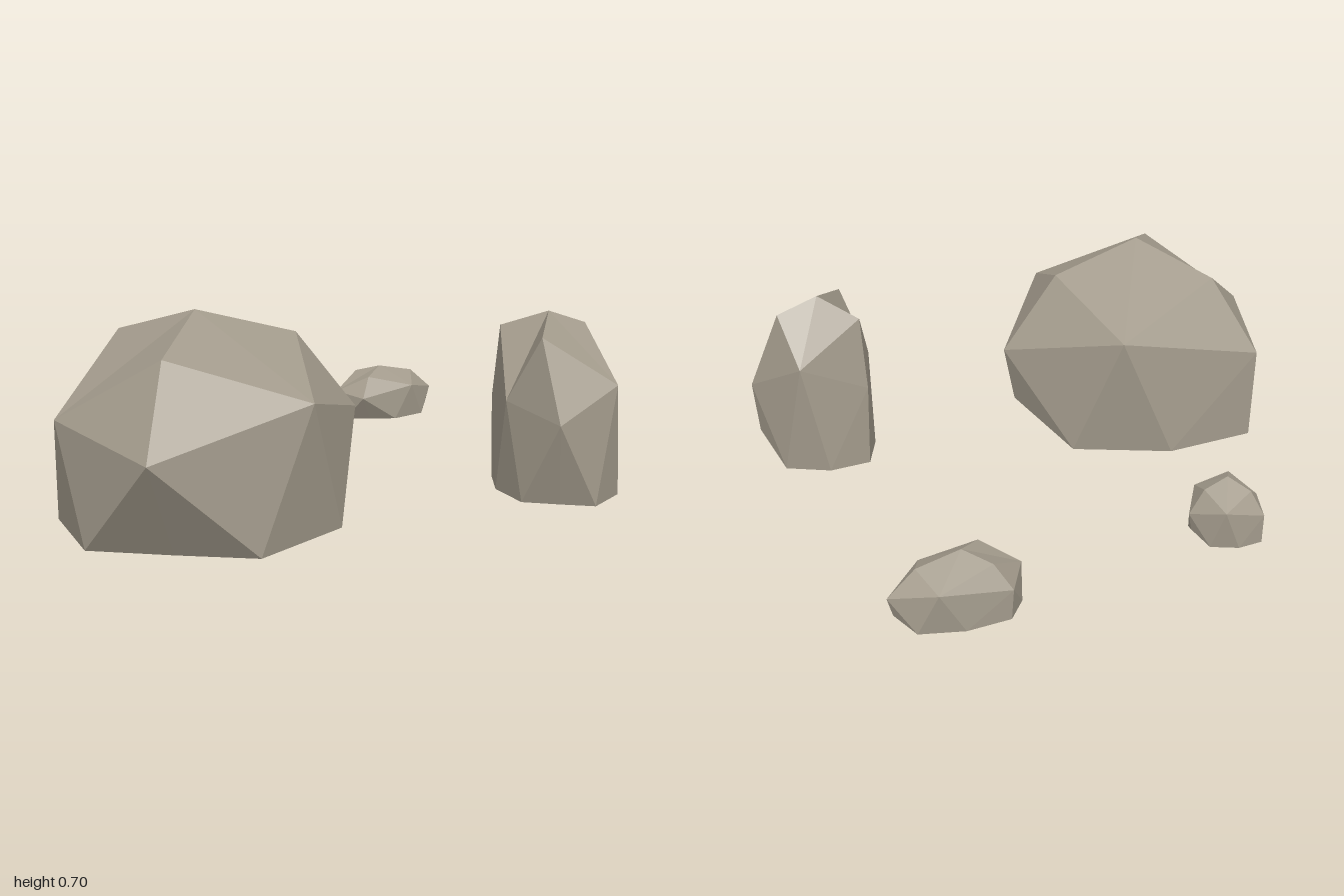
import * as THREE from 'three';

// The rocks are open shells underneath, so both sides show
const stone = new THREE.MeshStandardMaterial({ color: 0xa39b8c, side: THREE.DoubleSide });
stone.name = 'warm grey stone';
stone.flatShading = true;

// Unit rock, three-fold around its top: x and z run -1..1, y runs 0..1
// Crowns: the peak, then three shoulders
const ROUND_CROWN = [[-0.1, 1, 0], [0.58, 0.86, -0.03], [-0.43, 0.86, -0.61], [-0.49, 0.86, 0.61]];
const TALL_CROWN = [[-0.09, 1, -0.31], [0.57, 0.92, -0.31], [-0.6, 0.9, -0.84], [-0.7, 0.91, 0.46]];
const FACE = [[0.43, 0.65, -0.9], [-1, 0.54, 0.02], [0.36, 0.65, 0.86]];
const CORNER = [[1, 0.47, -0.03], [-0.64, 0.48, -0.96], [-0.7, 0.47, 1]];
const FOOT = [[0.7, 0, -0.63], [0.07, 0, -0.99], [-0.92, 0, -0.33],
  [-0.92, 0, 0.39], [-0.01, 0, 0.96], [0.66, 0, 0.57]];
const CORNER_FOOT = [[0.92, 0.17, -0.03], [-0.6, 0, -0.97], [-0.46, 0, 0.69]];

function rockGeometry([peak, ...shoulder]) {
  const pos = [];
  const tri = (a, b, c) => pos.push(...a, ...b, ...c);
  for (let i = 0; i < 3; i++) {
    const j = (i + 1) % 3;
    const f = FACE[i], k = CORNER[i], kn = CORNER[j], g = CORNER_FOOT[i];
    const a = FOOT[2 * i], b = FOOT[2 * i + 1], before = FOOT[(2 * i + 5) % 6];
    // crown
    tri(peak, shoulder[i], f);
    tri(peak, f, shoulder[j]);
    tri(shoulder[i], k, f);
    tri(f, kn, shoulder[j]);
    // sides
    tri(k, a, f);
    tri(f, a, b);
    tri(f, b, kn);
    tri(k, g, a);
    tri(k, before, g);
  }
  const geo = new THREE.BufferGeometry();
  geo.setAttribute('position', new THREE.Float32BufferAttribute(pos, 3));
  geo.computeVertexNormals();
  return geo;
}

export function createModel() {
  const group = new THREE.Group();
  group.name = 'rocks';
  // name, centre x and z, half width, height, half depth, crown
  const rocks = [
    ['boulder', -0.475, 0.4, 0.525, 0.7, 0.49, ROUND_CROWN],
    ['tallRock', 0.77, 0.557, 0.23, 0.63, 0.245, TALL_CROWN],
    ['pebble', -0.297, -0.688, 0.135, 0.205, 0.13, ROUND_CROWN],
    ['longPebble', 0.71, -0.76, 0.225, 0.21, 0.13, ROUND_CROWN],
  ];
  for (const [name, x, z, w, h, d, crown] of rocks) {
    const geo = rockGeometry(crown);
    geo.scale(w, h, d);
    const mesh = new THREE.Mesh(geo, stone);
    mesh.name = name;
    mesh.position.set(x, 0, z);
    group.add(mesh);
  }
  return group;
}
